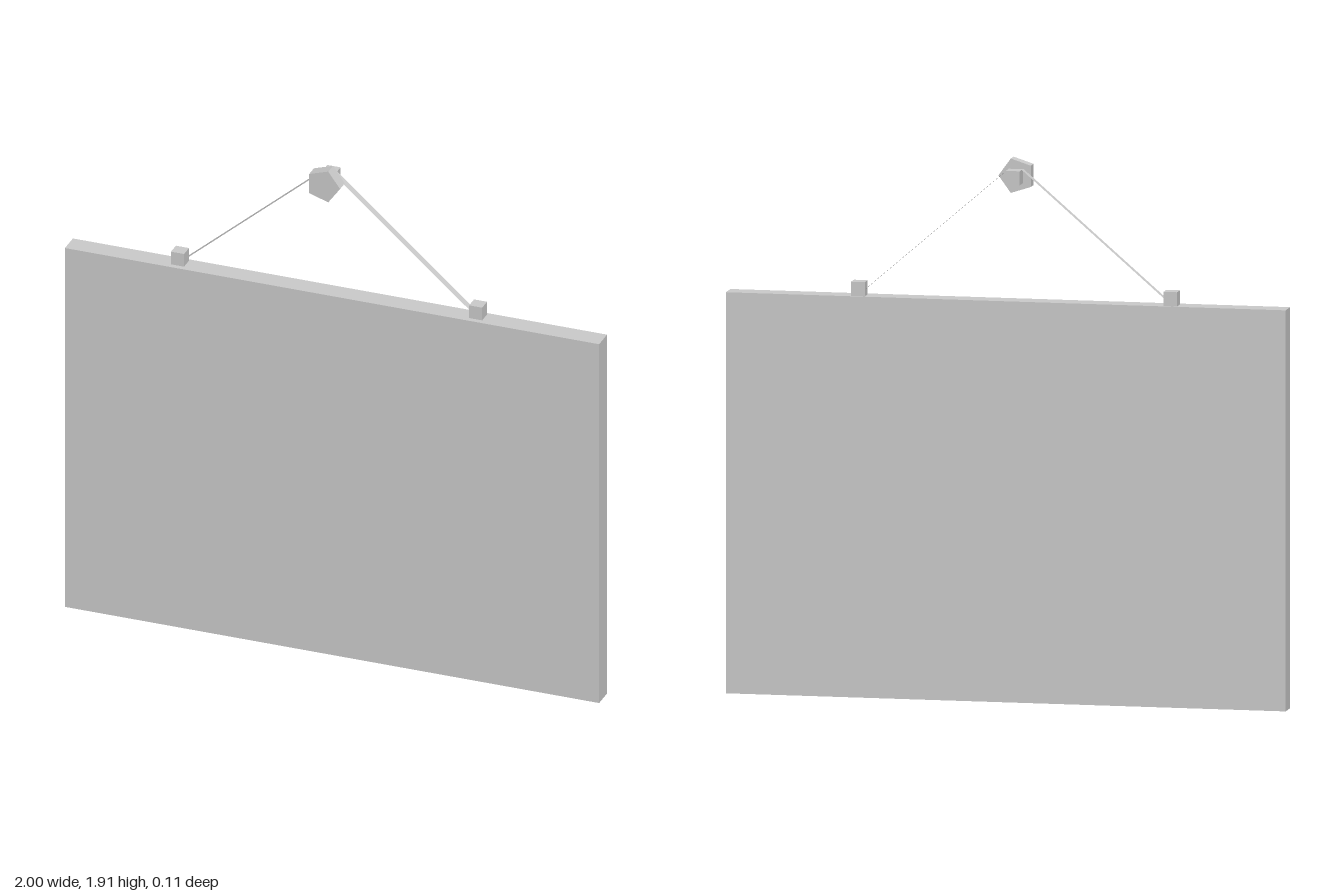
import * as THREE from 'three';

export function createModel() {
  const group = new THREE.Group();
  const solid = new THREE.MeshStandardMaterial({ color: 0xcccccc, flatShading: true });
  const thin = new THREE.MeshStandardMaterial({ color: 0xcccccc, flatShading: true, side: THREE.DoubleSide });

  const add = (name, geometry, x, y, z, material = solid) => {
    const mesh = new THREE.Mesh(geometry, material);
    mesh.name = name;
    mesh.position.set(x, y, z);
    group.add(mesh);
    return mesh;
  };

  const boardTop = 1.417;
  const centreX = -0.028; // the hanging parts sit slightly off centre
  const cordZ = -0.005;

  // Hanging sign board
  add('board', new THREE.BoxGeometry(2, boardTop, 0.077), 0, boardTop / 2, 0);

  // Five-sided nail head with a point towards +x, and the square peg behind it
  const head = new THREE.CylinderGeometry(0.064, 0.064, 0.046, 5);
  head.rotateX(Math.PI / 2).rotateZ(Math.PI / 2);
  add('nailHead', head, centreX, 1.854, 0.031);
  add('nailPeg', new THREE.BoxGeometry(0.05, 0.05, 0.052), centreX, 1.855, -0.027);

  // Mounting blocks and the flat cords that rise from them to the peg
  for (const [side, s] of [['left', 1], ['right', -1]]) {
    add(side + 'Block', new THREE.BoxGeometry(0.049, 0.05, 0.048), centreX + s * 0.558, boardTop + 0.025, cordZ);

    const low = new THREE.Vector2(centreX + s * 0.534, 1.441);
    const high = new THREE.Vector2(centreX + s * 0.025, 1.88);
    const run = high.clone().sub(low);
    const cord = new THREE.PlaneGeometry(run.length(), 0.028).rotateX(-Math.PI / 2);
    const mid = low.clone().add(high).multiplyScalar(0.5);
    add(side + 'Cord', cord, mid.x, mid.y, cordZ, thin).rotation.z = Math.atan(run.y / run.x);
  }
  return group;
}
